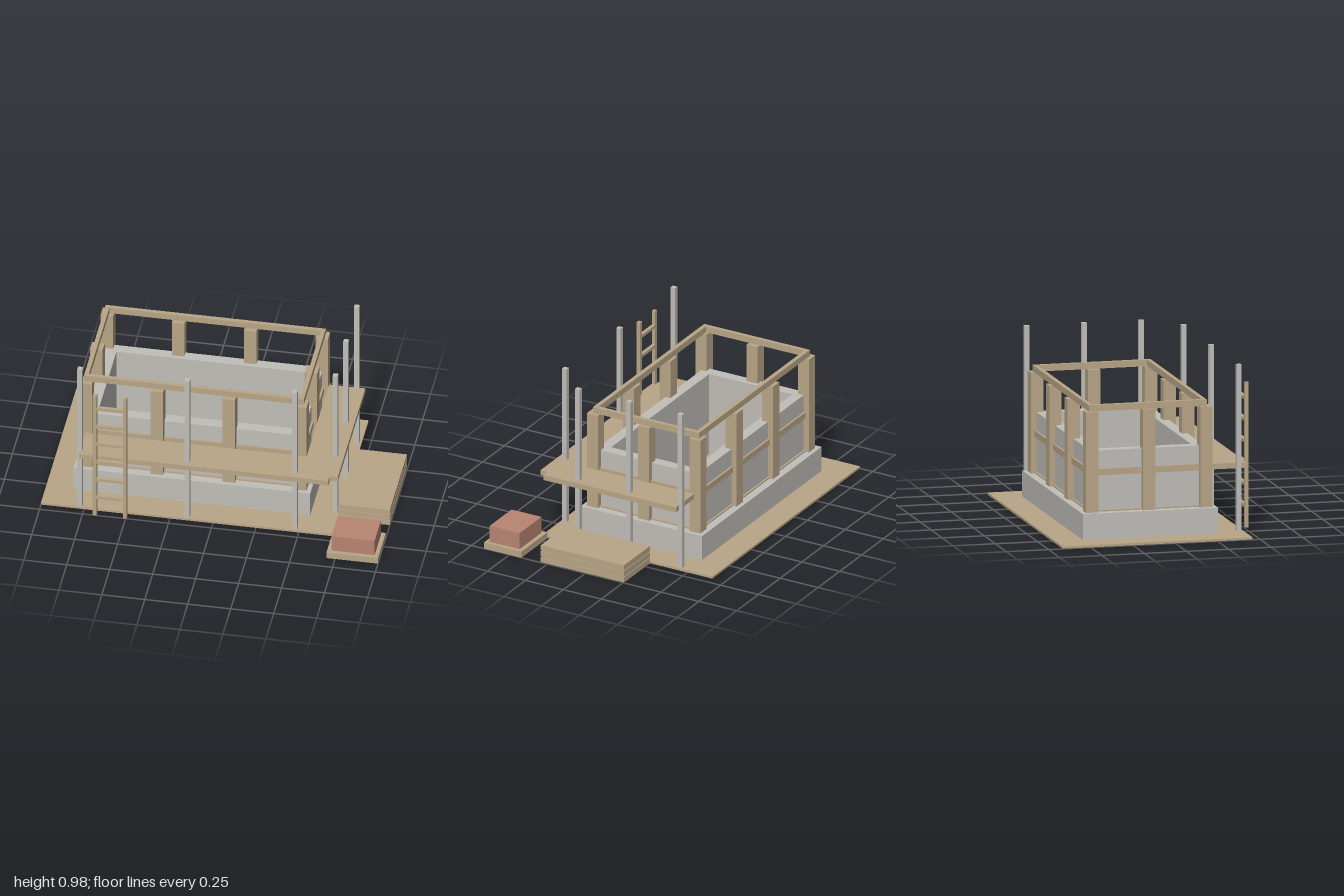
import * as THREE from 'three';

export function createModel() {
  const model = new THREE.Group();
  const material = (name, color) => Object.assign(new THREE.MeshStandardMaterial({ color }), { name });
  const timber = material('timber', 0xb9a687);
  const grey = material('concreteGrey', 0xc1beb9);
  const brick = material('brick', 0xb98572);

  const add = (parent, name, geometry, mat) => {
    const mesh = new THREE.Mesh(geometry, mat);
    mesh.name = name;
    parent.add(mesh);
  };
  // Box given by its limits on each axis
  const box = (parent, name, mat, x0, x1, y0, y1, z0, z1) => {
    const g = new THREE.BoxGeometry(x1 - x0, y1 - y0, z1 - z0);
    g.translate((x0 + x1) / 2, (y0 + y1) / 2, (z0 + z1) / 2);
    add(parent, name, g, mat);
  };
  const group = (name) => {
    const g = new THREE.Group();
    g.name = name;
    model.add(g);
    return g;
  };
  // Plan outline (x, z) raised from y0 to y1, with an optional hole
  const plan = (parent, name, mat, points, y0, y1, hole) => {
    const toVec = ([x, z]) => new THREE.Vector2(x, -z);
    const shape = new THREE.Shape(points.map(toVec));
    if (hole) shape.holes.push(new THREE.Path(hole.map(toVec)));
    const g = new THREE.ExtrudeGeometry(shape, { depth: y1 - y0, bevelEnabled: false });
    g.rotateX(-Math.PI / 2).translate(0, y0, 0);
    add(parent, name, g, mat);
  };
  // Counter-clockwise seen from above, so that holes face inwards
  const rect = (x0, x1, z0, z1) => [[x0, z1], [x1, z1], [x1, z0], [x0, z0]];

  // Base board, concrete footing showing through it, and basin walls
  box(model, 'groundBoard', timber, -1, 0.7, 0.001, 0.014, -0.668, 0.455);
  const inner = rect(-0.714, 0.414, -0.382, 0.164);
  plan(model, 'footing', grey, rect(-0.84, 0.537, -0.506, 0.293), 0, 0.165, inner);
  plan(model, 'basinWall', grey, rect(-0.778, 0.478, -0.446, 0.228), 0.165, 0.52, inner);

  // Timber frame: posts around the basin with horizontal rails
  const frame = group('timberFrame');
  const w = 0.073;
  const post = (x, z) => box(frame, 'post', timber, x, x + w, 0.165, 0.751, z, z + w);
  for (const x of [-0.811, -0.397, 0.022, 0.438])
    for (const z of [-0.48, 0.196]) post(x, z);
  for (const x of [-0.811, 0.438]) post(x, -0.142);
  const railOuter = rect(-0.79, 0.49, -0.458, 0.24);
  const railInner = rect(-0.765, 0.465, -0.433, 0.215);
  for (const [name, y0, y1] of [['sillRail', 0.165, 0.173], ['middleRail', 0.377, 0.414], ['topRail', 0.751, 0.788]])
    plan(frame, name, timber, railOuter, y0, y1, railInner);

  // Walkway along the front and left sides
  plan(model, 'walkway', timber, [
    [-0.775, 0.27], [0.512, 0.27], [0.512, -0.44], [0.723, -0.44],
    [0.723, 0.432], [0.676, 0.432], [0.676, 0.48], [-0.775, 0.48],
  ], 0.376, 0.408);

  // Scaffold poles
  const poles = group('scaffoldPoles');
  const r = 0.0145;
  for (const [x, z] of [[-0.776, 0.432], [-0.152, 0.432], [0.473, 0.432], [0.673, 0.232], [0.673, -0.105], [0.673, -0.445]])
    box(poles, 'pole', grey, x - r, x + r, 0.01, 0.982, z - r, z + r);

  // Ladder
  const ladder = group('ladder');
  for (const x of [-0.688, -0.513]) box(ladder, 'ladderRail', timber, x, x + 0.023, 0.01, 0.858, 0.492, 0.514);
  for (let i = 0; i < 6; i++) {
    const y = 0.137 + i * 0.1252;
    box(ladder, 'rung', timber, -0.666, -0.512, y - 0.009, y + 0.009, 0.492, 0.514);
  }

  // Stack of boards on slightly recessed spacers
  const stack = group('boardStack');
  for (let i = 0; i < 3; i++) {
    const y = 0.003 + i * 0.038;
    box(stack, 'board', timber, 0.7, 1, y, y + 0.031, -0.255, 0.293);
    if (i < 2) box(stack, 'spacer', timber, 0.704, 0.996, y + 0.031, y + 0.038, -0.251, 0.289);
  }

  // Brick pile on a pallet
  box(model, 'pallet', timber, 0.7, 1, 0, 0.039, 0.42, 0.668);
  box(model, 'brickPile', brick, 0.724, 0.976, 0.039, 0.14, 0.446, 0.643);

  return model;
}
